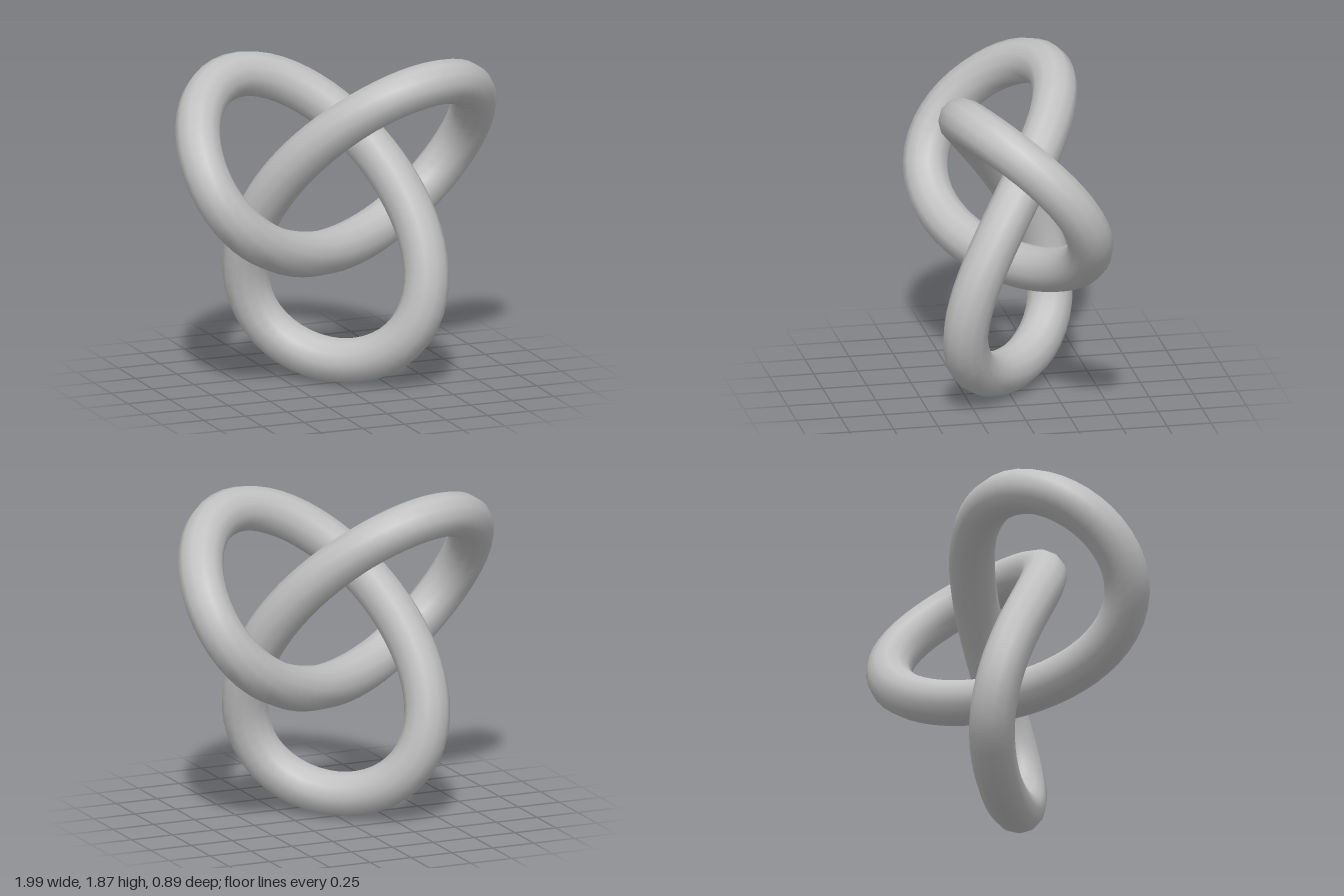
import * as THREE from 'three';

const SCALE = 0.319;          // size of the knot's centre line
const RADIUS = 0.4 * SCALE;   // thickness of the tube
const CENTRE_Y = 3 * SCALE + RADIUS;

// Centre line of a trefoil knot, with one lobe pointing straight down
class TrefoilCurve extends THREE.Curve {
  getPoint(u, target = new THREE.Vector3()) {
    const t = u * Math.PI * 2;
    return target.set(
      Math.sin(t) + 2 * Math.sin(2 * t),
      Math.cos(t) - 2 * Math.cos(2 * t),
      -Math.sin(3 * t)
    ).multiplyScalar(SCALE);
  }
}

export function createModel() {
  const group = new THREE.Group();
  group.name = 'trefoilKnot';

  const grey = new THREE.MeshStandardMaterial({ color: 0xc0c0c0 });
  grey.name = 'light grey';

  // Closed tube swept along the knot
  const geometry = new THREE.TubeGeometry(new TrefoilCurve(), 128, RADIUS, 12, true);
  const tube = new THREE.Mesh(geometry, grey);
  tube.name = 'knotTube';
  tube.position.y = CENTRE_Y;
  group.add(tube);

  return group;
}
